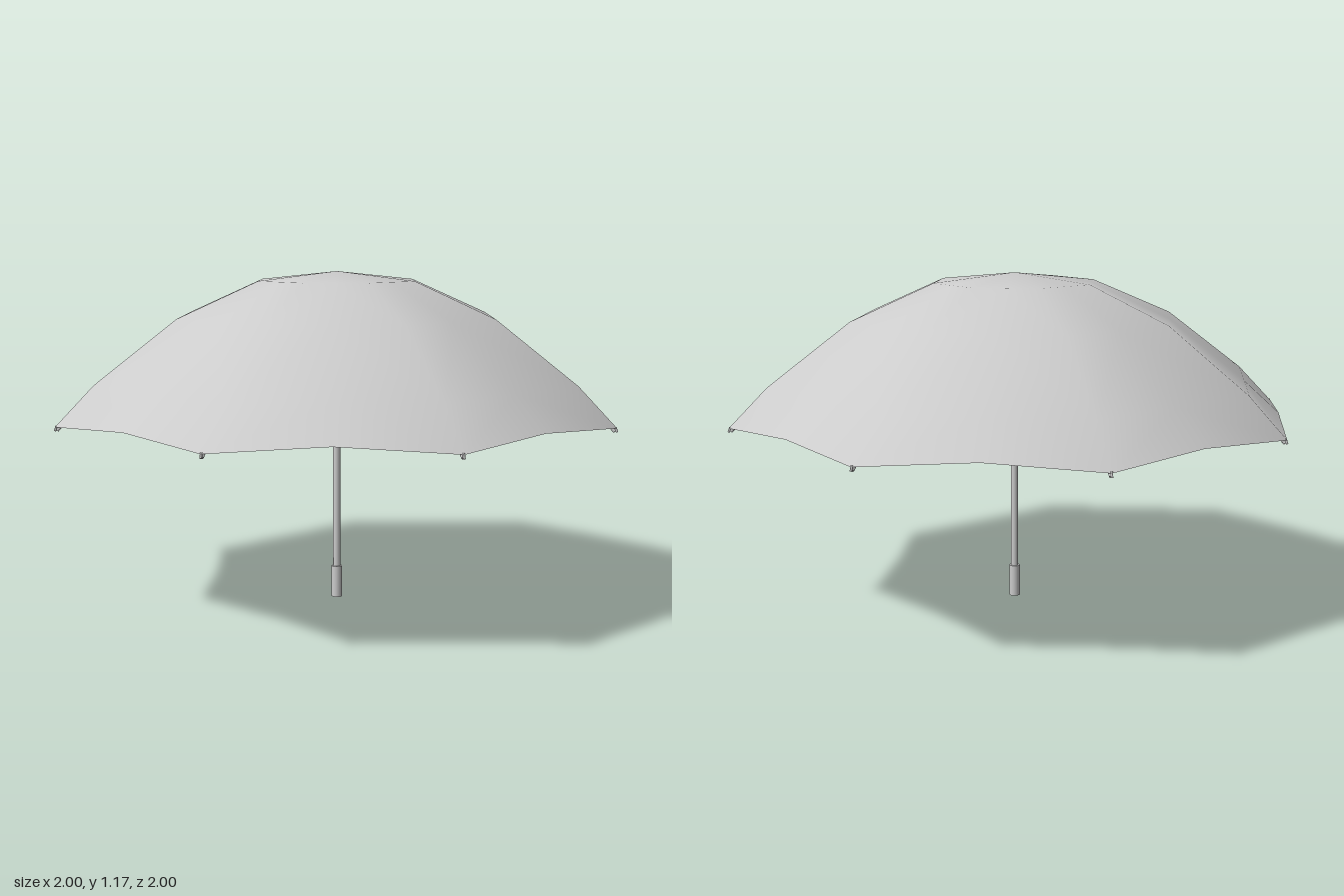
import * as THREE from 'three';

const PANELS = 8;
// Rib profile from the apex to the rim: [radius, height]
const PROFILE = [[0, 1.166], [0.29, 1.135], [0.58, 1.012], [0.865, 0.8], [0.996, 0.668]];
const RIM_LIFT = 0.022;

const material = new THREE.MeshStandardMaterial({ color: 0xcccccc });
const clothMaterial = new THREE.MeshStandardMaterial({ color: 0xcccccc, side: THREE.DoubleSide });

function addMesh(parent, name, geometry, mat = material) {
  const mesh = new THREE.Mesh(geometry, mat);
  mesh.name = name;
  parent.add(mesh);
  return mesh;
}

// Straight round rod between two points
function addRod(parent, name, a, b, radius, sides = 6) {
  const dir = b.clone().sub(a);
  const rod = addMesh(parent, name, new THREE.CylinderGeometry(radius, radius, dir.length(), sides));
  rod.position.copy(a).add(b).multiplyScalar(0.5);
  rod.quaternion.setFromUnitVectors(new THREE.Vector3(0, 1, 0), dir.normalize());
  return rod;
}

// Eight cloth panels, each with straight rings between ribs and a lifted rim centre
function canopyGeometry() {
  const n = PANELS * 2;
  const positions = [0, PROFILE[0][1], 0];
  const index = [];
  const at = (ring, i) => 1 + (ring - 1) * n + (i % n);
  for (let ring = 1; ring < PROFILE.length; ring++) {
    const [r, y] = PROFILE[ring];
    for (let i = 0; i < n; i++) {
      const mid = i % 2 === 1;
      const a = (i / n) * Math.PI * 2;
      const radius = mid ? r * Math.cos(Math.PI / PANELS) : r;
      const lift = mid && ring === PROFILE.length - 1 ? RIM_LIFT : 0;
      positions.push(radius * Math.sin(a), y + lift, radius * Math.cos(a));
      if (ring === 1) index.push(0, at(1, i), at(1, i + 1));
      else {
        const p = at(ring - 1, i), q = at(ring - 1, i + 1);
        const s = at(ring, i), t = at(ring, i + 1);
        // Diagonals mirror about each rib
        if (mid) index.push(p, s, t, p, t, q);
        else index.push(p, s, q, q, s, t);
      }
    }
  }
  const g = new THREE.BufferGeometry();
  g.setAttribute('position', new THREE.Float32BufferAttribute(positions, 3));
  g.setIndex(index);
  g.computeVertexNormals();
  return g;
}

function addCylinder(parent, name, radius, bottom, top, sides = 16) {
  const mesh = addMesh(parent, name, new THREE.CylinderGeometry(radius, radius, top - bottom, sides));
  mesh.position.y = (bottom + top) / 2;
  return mesh;
}

export function createModel() {
  const model = new THREE.Group();
  model.name = 'umbrella';

  addMesh(model, 'canopy', canopyGeometry(), clothMaterial);

  // Shaft, grip and the two hubs
  addCylinder(model, 'shaft', 0.013, 0.1, 1.155);
  addCylinder(model, 'grip', 0.019, 0, 0.112);
  addCylinder(model, 'topHub', 0.02, 1.125, 1.15);
  addCylinder(model, 'runner', 0.02, 1.03, 1.06);

  // Jointed ribs under the seams, with stretchers up from the runner
  for (let i = 0; i < PANELS; i++) {
    const arm = new THREE.Group();
    arm.name = 'ribArm' + (i + 1);
    arm.rotation.y = (i / PANELS) * Math.PI * 2;
    const points = PROFILE.map(([r, y]) => new THREE.Vector3(0, y - 0.011, r * 0.993));
    points[0].set(0, 1.142, 0.01);
    for (let k = 0; k < points.length - 1; k++) {
      addRod(arm, 'rib', points[k], points[k + 1], 0.006);
    }
    addRod(arm, 'stretcher', new THREE.Vector3(0, 1.047, 0.012), points[1], 0.005);
    // Small end cap below the rim corner
    addRod(arm, 'ribTip', new THREE.Vector3(0, 0.672, 0.99), new THREE.Vector3(0, 0.655, 0.996), 0.004);
    model.add(arm);
  }
  return model;
}
